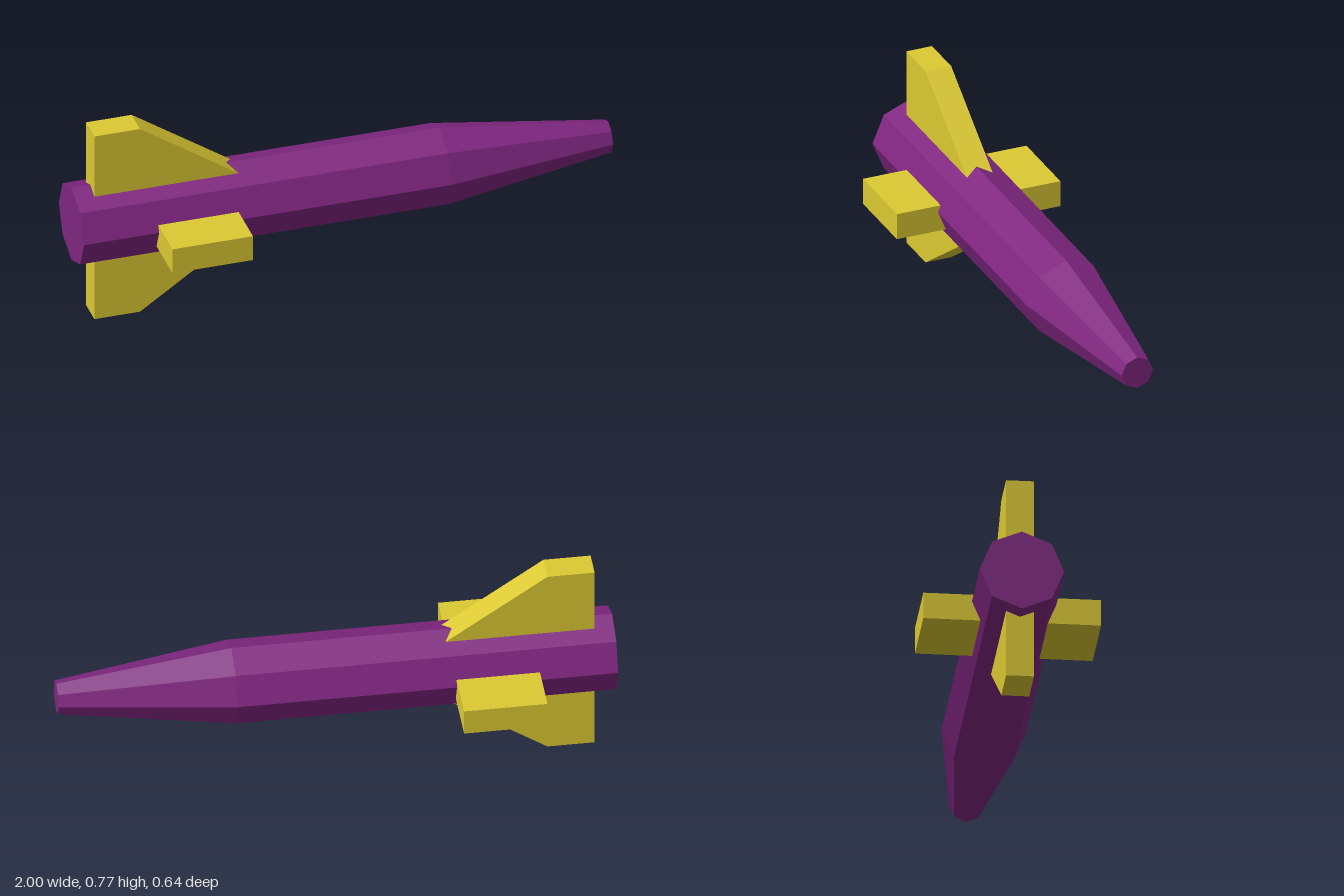
import * as THREE from 'three';

const purple = new THREE.MeshStandardMaterial({ color: 0x802680, flatShading: true });
purple.name = 'purple';
const yellow = new THREE.MeshStandardMaterial({ color: 0xdcc932, flatShading: true });
yellow.name = 'yellow';

const AXIS_Y = 0.383; // height of the body axis
const AXIS_Z = 0.007; // slight sideways offset of the body and upright fins

function addMesh(parent, name, geometry, material) {
  const mesh = new THREE.Mesh(geometry, material);
  mesh.name = name;
  parent.add(mesh);
  return mesh;
}

// Upright fin with a swept leading edge; side is 1 for up, -1 for down
function finGeometry(side) {
  const outline = [[-0.93, 0.08], [-0.32, 0.08], [-0.76, 0.383], [-0.93, 0.383]];
  const shape = new THREE.Shape(outline.map(([x, y]) => new THREE.Vector2(x, y * side)));
  const geometry = new THREE.ExtrudeGeometry(shape, { depth: 0.1, bevelEnabled: false });
  return geometry.translate(0, AXIS_Y, AXIS_Z - 0.05);
}

export function createModel() {
  const model = new THREE.Group();
  model.name = 'rocket';

  // Eight-sided body with a tapered, blunt nose
  const profile = [[0, -1], [0.151, -1], [0.151, 0.37], [0.061, 1], [0, 1]];
  const body = new THREE.LatheGeometry(profile.map(([r, y]) => new THREE.Vector2(r, y)), 8);
  body.rotateZ(-Math.PI / 2).translate(0, AXIS_Y, AXIS_Z);
  addMesh(model, 'body', body, purple);

  // Upper and lower tail fins
  addMesh(model, 'upperFin', finGeometry(1), yellow);
  addMesh(model, 'lowerFin', finGeometry(-1), yellow);

  // Block-shaped side fins
  for (const side of [1, -1]) {
    const fin = addMesh(model, side > 0 ? 'frontSideFin' : 'backSideFin',
      new THREE.BoxGeometry(0.3, 0.1, 0.218), yellow);
    fin.position.set(-0.57, 0.359, side * 0.209);
  }

  return model;
}
